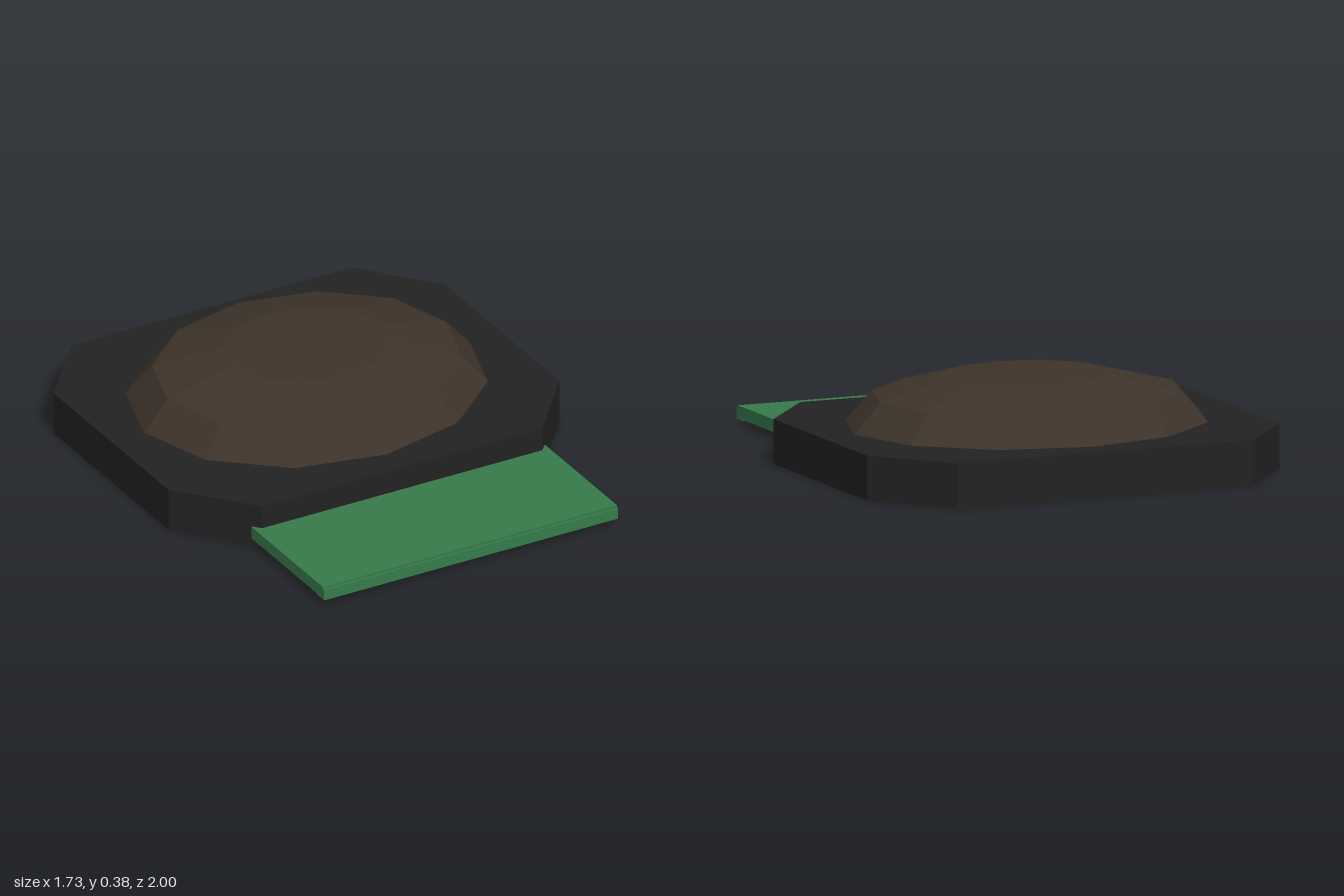
import * as THREE from 'three';

export function createModel() {
  const model = new THREE.Group();
  const charcoal = new THREE.MeshStandardMaterial({ name: 'charcoal', color: 0x222222 });
  const brown = new THREE.MeshStandardMaterial({ name: 'darkBrown', color: 0x3e332a });
  const green = new THREE.MeshStandardMaterial({ name: 'green', color: 0x357a4a });
  brown.flatShading = true;

  const add = (name, geometry, material, x, y, z) => {
    const mesh = new THREE.Mesh(geometry, material);
    mesh.name = name;
    mesh.position.set(x, y, z);
    model.add(mesh);
    return mesh;
  };

  const centreZ = -0.265;

  // Eight-sided crown slab with clipped corners
  const outline = new THREE.Shape([
    [0.62, -0.735], [0.865, -0.44], [0.865, 0.44], [0.62, 0.735],
    [-0.62, 0.735], [-0.865, 0.44], [-0.865, -0.44], [-0.62, -0.735],
  ].map(([x, y]) => new THREE.Vector2(x, y)));
  const slab = new THREE.ExtrudeGeometry(outline, { depth: 0.175, bevelEnabled: false });
  slab.rotateX(-Math.PI / 2);
  add('baseSlab', slab, charcoal, 0, 0, centreZ);

  // Low faceted dome, a little narrower front to back
  const profile = [[0.72, 0], [0.615, 0.117], [0.335, 0.187], [0, 0.202]]
    .map(([r, y]) => new THREE.Vector2(r, y));
  const dome = add('dome', new THREE.LatheGeometry(profile, 12), brown, 0, 0.175, centreZ);
  dome.scale.z = 0.855;

  // Flat front tongue and its edge strip
  add('frontPlate', new THREE.BoxGeometry(1.3, 0.05, 0.55), green, 0, 0.055, 0.715);
  add('frontLip', new THREE.BoxGeometry(1.3, 0.044, 0.055), green, 0, 0.048, 0.9725);

  return model;
}
